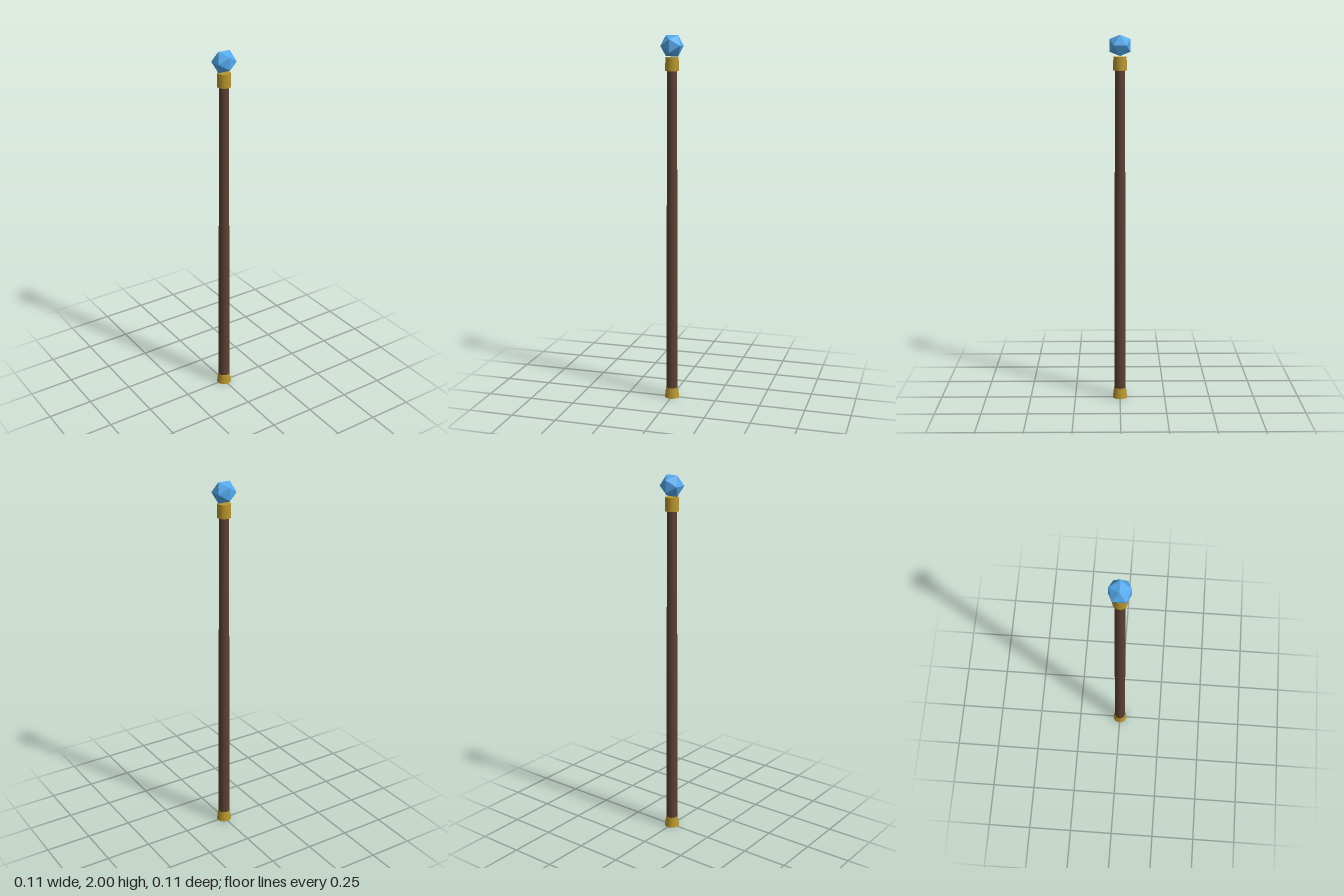
import * as THREE from 'three';

const wood = new THREE.MeshStandardMaterial({ color: 0x5c4033 });
const gold = new THREE.MeshStandardMaterial({ color: 0xb8962e });
const crystal = new THREE.MeshStandardMaterial({ color: 0x55aaee, flatShading: true });

// Tapered round section standing between two heights
function section(name, rTop, rBottom, y0, y1, material) {
  const mesh = new THREE.Mesh(new THREE.CylinderGeometry(rTop, rBottom, y1 - y0, 16), material);
  mesh.name = name;
  mesh.position.y = (y0 + y1) / 2;
  return mesh;
}

export function createModel() {
  const staff = new THREE.Group();
  staff.name = 'staff';

  // Long shaft, slightly thinner towards the top
  staff.add(section('shaft', 0.0265, 0.032, 0.02, 1.85, wood));

  // Metal foot and head collar
  staff.add(section('ferrule', 0.033, 0.041, 0, 0.058, gold));
  staff.add(section('collar', 0.035, 0.037, 1.815, 1.887, gold));

  // Faceted gem hovering just above the collar
  const gem = new THREE.Mesh(new THREE.IcosahedronGeometry(0.064, 0), crystal);
  gem.name = 'gem';
  gem.position.y = 1.9456;
  staff.add(gem);

  return staff;
}
